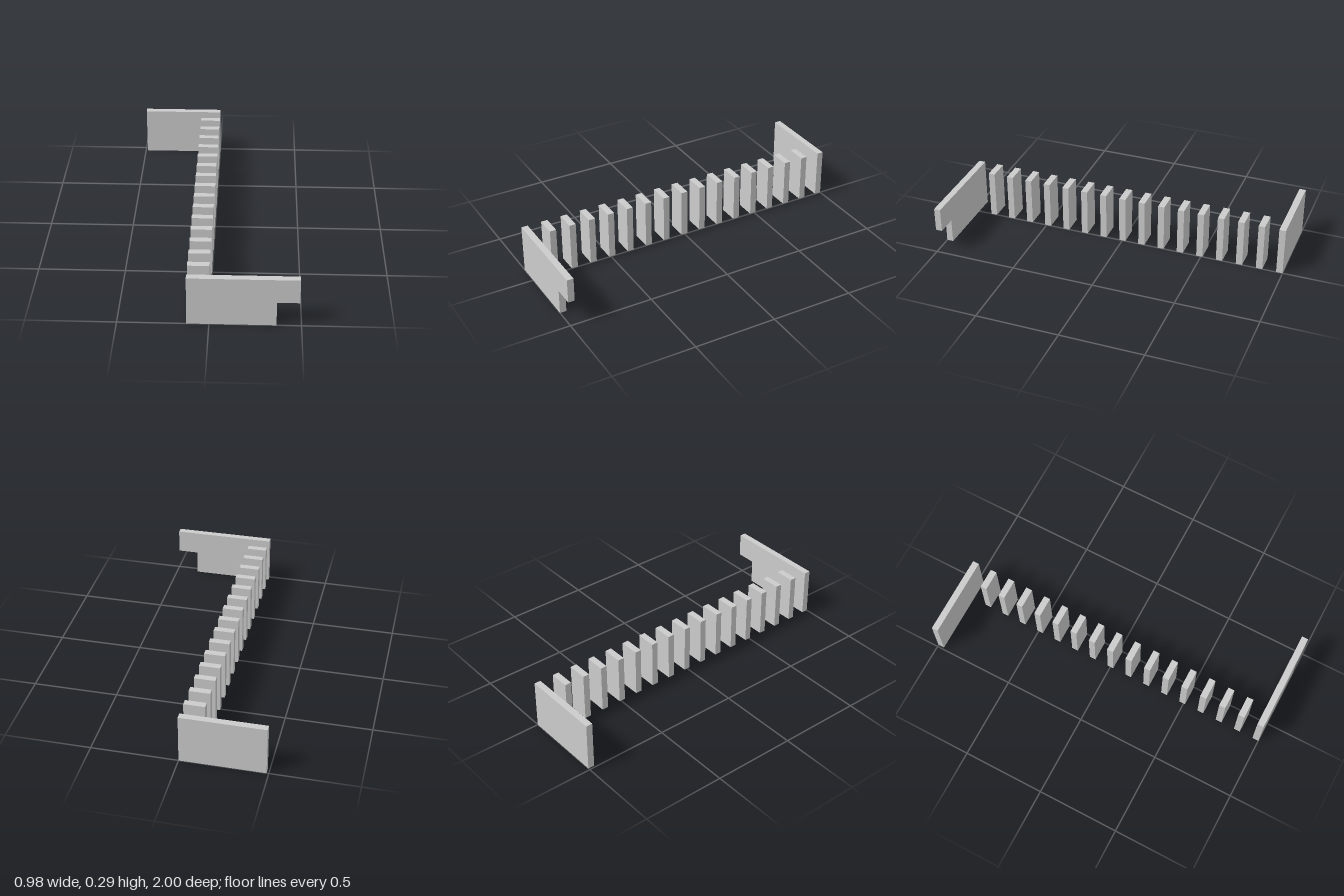
import * as THREE from 'three';

const HEIGHT = 0.293, THICK = 0.039, PITCH = 0.1226, WIDTH = 0.122;

export function createModel() {
  const model = new THREE.Group();
  const material = new THREE.MeshStandardMaterial({ color: 0xcccccc, flatShading: true });

  const add = (name, geometry, x, y, z) => {
    const mesh = new THREE.Mesh(geometry, material);
    mesh.name = name;
    mesh.position.set(x, y, z);
    model.add(mesh);
  };

  // Row of evenly spaced upright slats
  const slat = new THREE.BoxGeometry(WIDTH, HEIGHT, THICK);
  for (let i = -7; i <= 7; i++) add('slat', slat, -WIDTH / 2, HEIGHT / 2, i * PITCH);

  // Back end plate, reaching to the model's right
  add('backPlate', new THREE.BoxGeometry(0.488, HEIGHT, THICK), -0.244, HEIGHT / 2, -8 * PITCH);

  // Front end plate, reaching to the left with a notch under its tip
  const outline = new THREE.Shape([
    [-WIDTH, 0], [0.365, 0], [0.365, 0.148], [0.488, 0.148], [0.488, HEIGHT], [-WIDTH, HEIGHT],
  ].map(([x, y]) => new THREE.Vector2(x, y)));
  const plate = new THREE.ExtrudeGeometry(outline, { depth: THICK, bevelEnabled: false });
  add('frontPlate', plate, 0, 0, 8 * PITCH - THICK / 2);

  return model;
}
